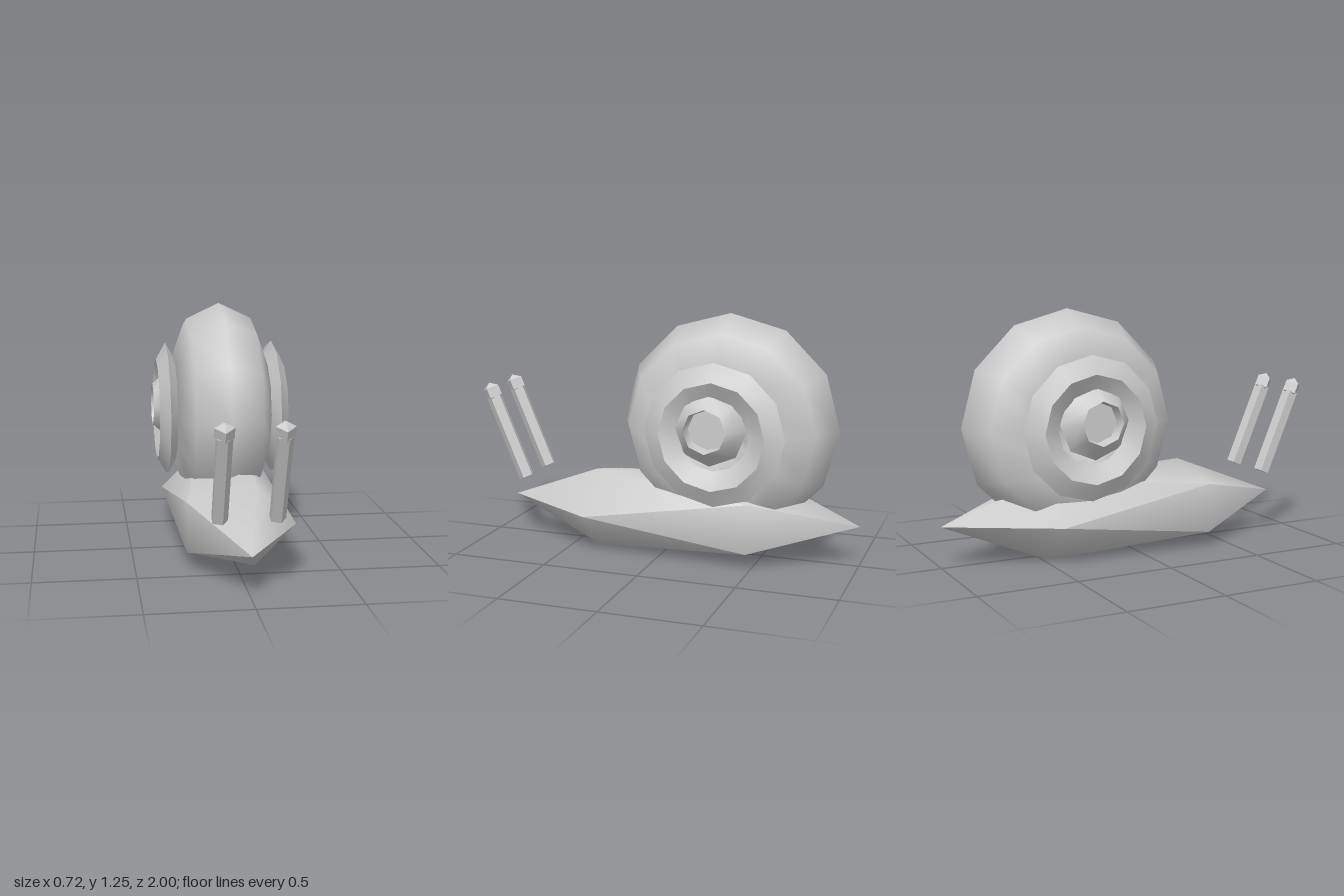
import * as THREE from 'three';
import { toCreasedNormals } from 'three/addons/utils/BufferGeometryUtils.js';

export function createModel() {
  const model = new THREE.Group();
  model.name = 'snail';
  const grey = new THREE.MeshStandardMaterial({ color: 0xcccccc });
  grey.name = 'light grey';

  // Adds a named mesh; edges bent more than the crease angle stay sharp
  const add = (parent, name, geometry, crease, x = 0, y = 0, z = 0) => {
    const mesh = new THREE.Mesh(toCreasedNormals(geometry, crease), grey);
    mesh.name = name;
    mesh.position.set(x, y, z);
    parent.add(mesh);
    return mesh;
  };

  // Body: two staggered five-sided rings between pointed ends
  const positions = [];
  const ring = (turn, z) => Array.from({ length: 5 }, (_, i) => {
    const a = (i + turn) * Math.PI * 0.4;
    return [0.302 * Math.cos(a), 0.217 * Math.sin(a), z];
  });
  const front = ring(0, 0.37), back = ring(0.5, -0.475);
  const nose = [0, 0, 0.89], tail = [0, 0, -1];
  for (let i = 0; i < 5; i++) {
    const j = (i + 1) % 5;
    for (const face of [
      [nose, front[i], front[j]],
      [front[i], back[i], front[j]],
      [front[j], back[i], back[j]],
      [tail, back[j], back[i]],
    ]) positions.push(...face.flat());
  }
  const body = new THREE.BufferGeometry();
  body.setAttribute('position', new THREE.Float32BufferAttribute(positions, 3));
  add(model, 'body', body, 1.1, 0, 0.208, 0);

  // Shell: fat ring lying on its side
  const shell = new THREE.Group();
  shell.name = 'shell';
  shell.position.set(0, 0.682, -0.32);
  model.add(shell);
  add(shell, 'shellCoil',
    new THREE.TorusGeometry(0.285, 0.28, 8, 12).scale(1, 1, 0.875).rotateY(Math.PI / 2), 1.2);

  // Smaller ridged rings on both flanks
  const hub = [[0.19, 0.27], [0.11, 0.36], [0.1, 0.3], [0, 0.3]]
    .map(([r, h]) => new THREE.Vector2(r, h));
  for (const side of [1, -1]) {
    add(shell, 'outerSpiralRing',
      new THREE.TorusGeometry(0.268, 0.09, 4, 12).scale(1, 1, 0.56).rotateY(side * Math.PI / 2),
      0.9, side * 0.287);
    add(shell, 'innerSpiralRing',
      new THREE.LatheGeometry(hub, 8).rotateZ(-side * Math.PI / 2), 0.9, 0, 0.03, 0.025);
  }

  // Eye stalks leaning forward, each with a faceted tip
  for (const side of [1, -1]) {
    const stalk = new THREE.Group();
    stalk.name = side > 0 ? 'leftEyeStalk' : 'rightEyeStalk';
    stalk.position.set(side * 0.135, 0.35, 0.762);
    stalk.rotation.x = 0.4;
    model.add(stalk);
    add(stalk, 'stalk',
      new THREE.CylinderGeometry(0.041, 0.041, 0.46, 5, 1, false, Math.PI / 2), 0.1, 0, 0.23, 0);
    add(stalk, 'eye', new THREE.SphereGeometry(0.054, 4, 3), 0.1, 0, 0.48, 0);
  }
  return model;
}
